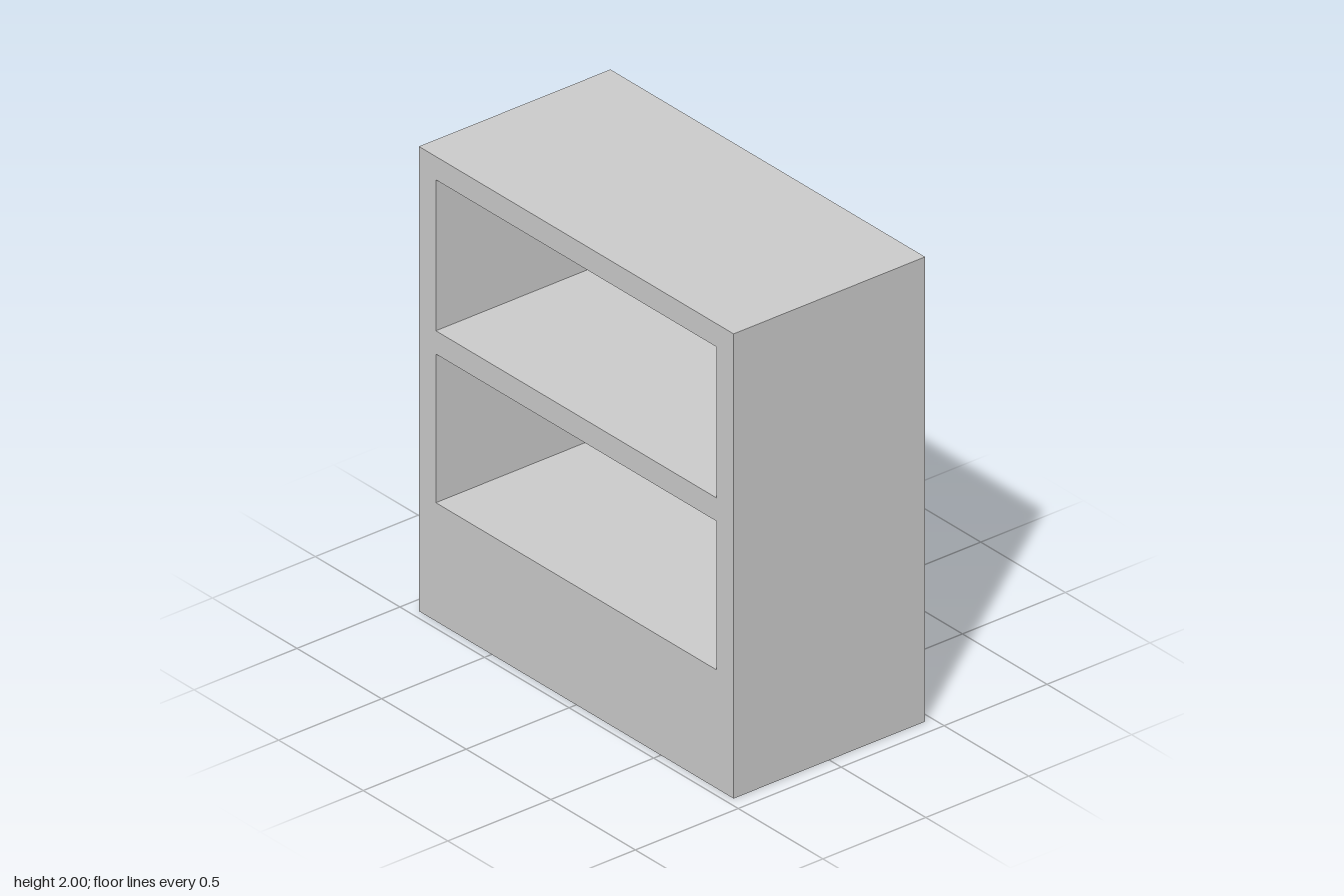
import * as THREE from 'three';

const WIDTH = 0.93;       // across x
const HALF_LENGTH = 0.93; // along z
const HEIGHT = 2;
const WALL = 0.1;
const OPENINGS = [[0.51, 1.15], [1.25, 1.9]]; // bottom and top of each bay

// Traces a rectangle, symmetric about the vertical axis
function rectangle(path, halfWidth, bottom, top) {
  path.moveTo(-halfWidth, bottom);
  path.lineTo(halfWidth, bottom);
  path.lineTo(halfWidth, top);
  path.lineTo(-halfWidth, top);
  path.closePath();
  return path;
}

export function createModel() {
  const group = new THREE.Group();
  group.name = 'openShelf';

  // Side outline with the two through bays cut out
  const profile = rectangle(new THREE.Shape(), HALF_LENGTH, 0, HEIGHT);
  for (const [bottom, top] of OPENINGS) {
    profile.holes.push(rectangle(new THREE.Path(), HALF_LENGTH - WALL, bottom, top));
  }

  // Extrude across the width, centred on x
  const geometry = new THREE.ExtrudeGeometry(profile, { depth: WIDTH, bevelEnabled: false });
  geometry.translate(0, 0, -WIDTH / 2);
  geometry.rotateY(Math.PI / 2);

  const material = new THREE.MeshStandardMaterial({ color: 0xcccccc, flatShading: true });
  const frame = new THREE.Mesh(geometry, material);
  frame.name = 'shelfFrame';
  group.add(frame);

  return group;
}
